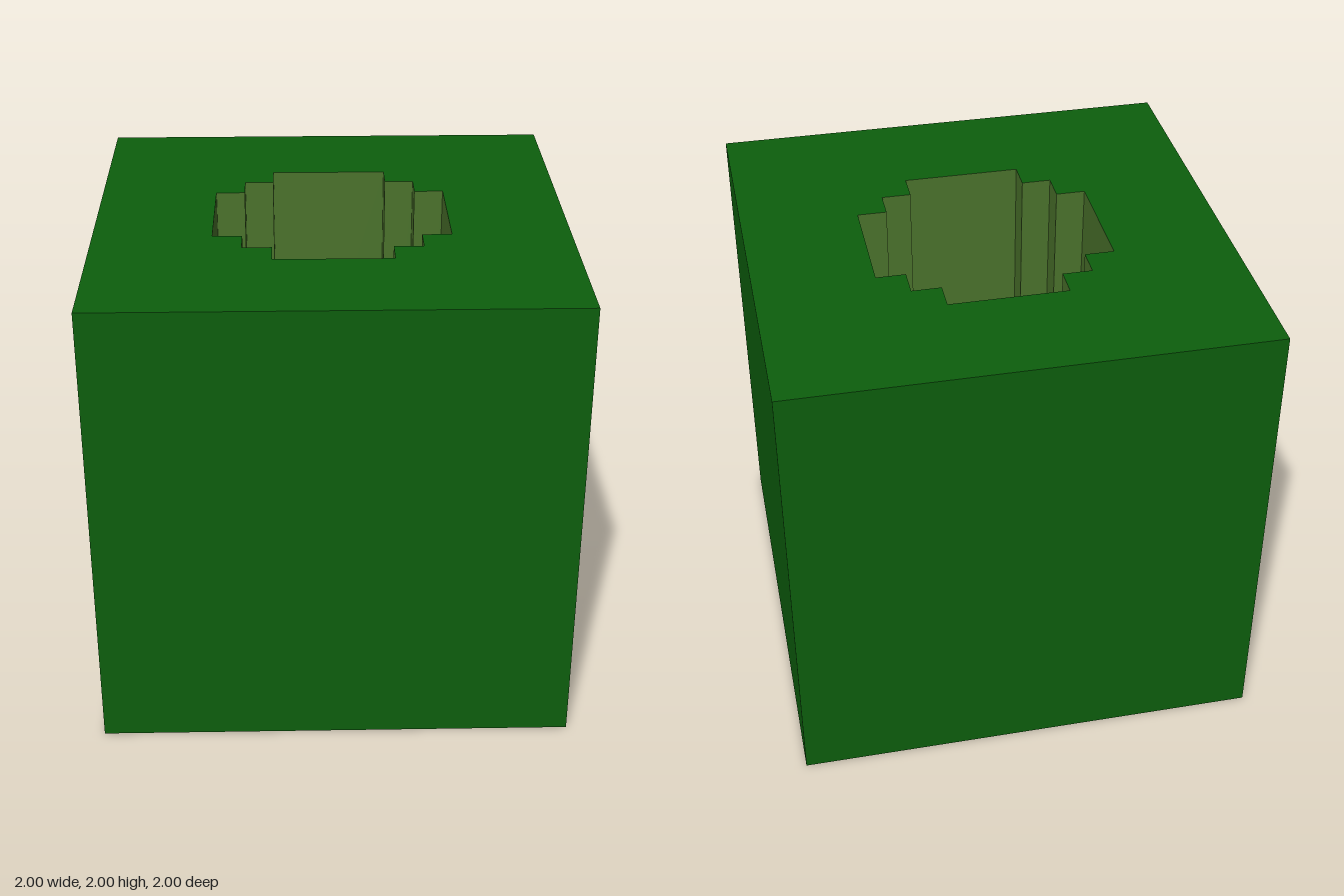
import * as THREE from 'three';

const SIZE = 2, FLOOR_Y = 0.25;

export function createModel() {
  const green = new THREE.MeshStandardMaterial({ color: 0x0d5f0d });
  green.name = 'dark green';
  const olive = new THREE.MeshStandardMaterial({ color: 0x4b732c });
  olive.name = 'olive';

  const model = new THREE.Group();
  model.name = 'hollowBlock';
  const add = (parent, name, geometry, material) => {
    const mesh = new THREE.Mesh(geometry, material);
    mesh.name = name;
    parent.add(mesh);
    return mesh;
  };

  // Stepped outline of the hole: one quadrant turned four times
  const quadrant = [[0.5, 0.25], [0.375, 0.25], [0.375, 0.375], [0.25, 0.375], [0.25, 0.5]];
  const outline = [];
  for (let i = 0; i < 4; i++) {
    for (const [x, y] of quadrant) {
      const p = [[x, y], [-y, x], [-x, -y], [y, -x]][i];
      outline.push(new THREE.Vector2(p[0], p[1]));
    }
  }

  // Four outer sides
  const h = SIZE / 2;
  ['front', 'left', 'back', 'right'].forEach((side, i) => {
    const g = new THREE.PlaneGeometry(SIZE, SIZE).translate(0, h, h).rotateY(i * Math.PI / 2);
    add(model, side + 'Side', g, green);
  });

  // Underside
  add(model, 'underside', new THREE.PlaneGeometry(SIZE, SIZE).rotateX(Math.PI / 2), green);

  // Top face with the hole cut out
  const top = new THREE.Shape([[-h, -h], [h, -h], [h, h], [-h, h]].map(([x, y]) => new THREE.Vector2(x, y)));
  top.holes.push(new THREE.Path(outline));
  add(model, 'topFace', new THREE.ShapeGeometry(top).rotateX(-Math.PI / 2).translate(0, SIZE, 0), green);

  // Hole: inward-facing walls and a floor
  const hole = new THREE.Group();
  hole.name = 'hole';
  model.add(hole);
  const depth = SIZE - FLOOR_Y;
  outline.forEach((a, i) => {
    const b = outline[(i + 1) % outline.length];
    const g = new THREE.PlaneGeometry(a.distanceTo(b), depth)
      .rotateY(Math.atan2(a.y - b.y, a.x - b.x))
      .translate((a.x + b.x) / 2, FLOOR_Y + depth / 2, -(a.y + b.y) / 2);
    add(hole, 'holeWall', g, olive);
  });
  const floor = new THREE.ShapeGeometry(new THREE.Shape(outline));
  add(hole, 'holeFloor', floor.rotateX(-Math.PI / 2).translate(0, FLOOR_Y, 0), olive);

  return model;
}
